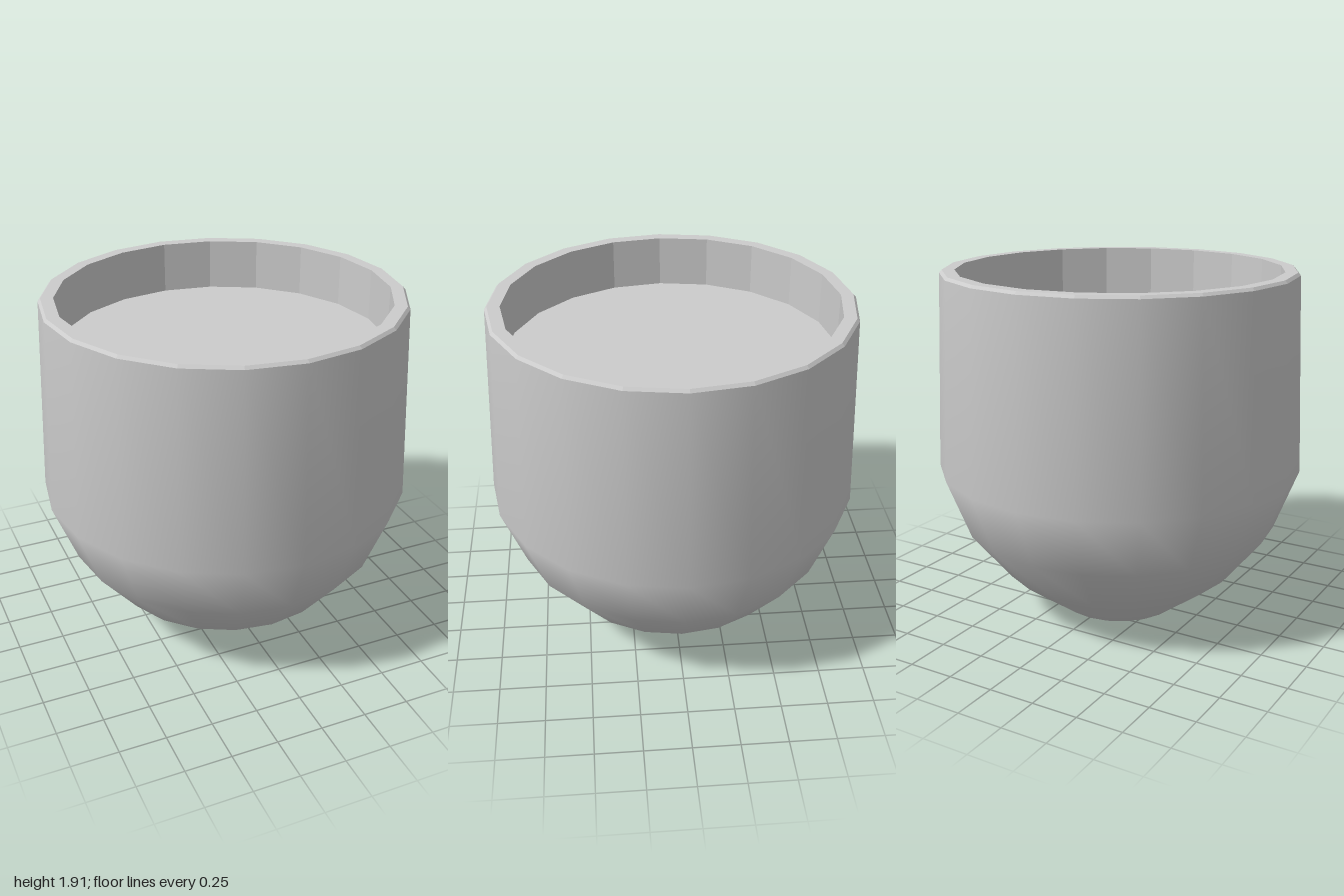
import * as THREE from 'three';

const SIDES = 20;
const smooth = new THREE.MeshStandardMaterial({ color: 0xcccccc });
const faceted = new THREE.MeshStandardMaterial({ color: 0xcccccc, flatShading: true });

export function createModel() {
  const model = new THREE.Group();

  // A ring of surface swept from a [radius, height] profile
  const ring = (name, profile, material = smooth) => {
    const points = profile.map(([r, y]) => new THREE.Vector2(r, y));
    const mesh = new THREE.Mesh(new THREE.LatheGeometry(points, SIDES), material);
    mesh.name = name;
    model.add(mesh);
  };

  // A flat disc facing up (+1) or down (-1)
  const disc = (name, radius, y, facing) => {
    const mesh = new THREE.Mesh(new THREE.CircleGeometry(radius, SIDES), smooth);
    mesh.name = name;
    mesh.rotation.x = -facing * Math.PI / 2;
    mesh.position.y = y;
    model.add(mesh);
  };

  // Rounded bowl with a slightly tapering upper wall
  ring('outerWall', [[0.335, 0], [0.65, 0.235], [0.87, 0.505], [1, 0.84], [0.957, 1.9]]);
  disc('base', 0.335, 0, -1);

  // Bevelled lip
  ring('rimBevel', [[0.957, 1.9], [0.943, 1.915]], faceted);
  ring('rimTop', [[0.943, 1.915], [0.877, 1.915]], faceted);

  // Shallow recess down to the flat filling
  ring('innerWall', [[0.877, 1.915], [0.877, 1.635]], faceted);
  disc('filling', 0.877, 1.635, 1);

  return model;
}
